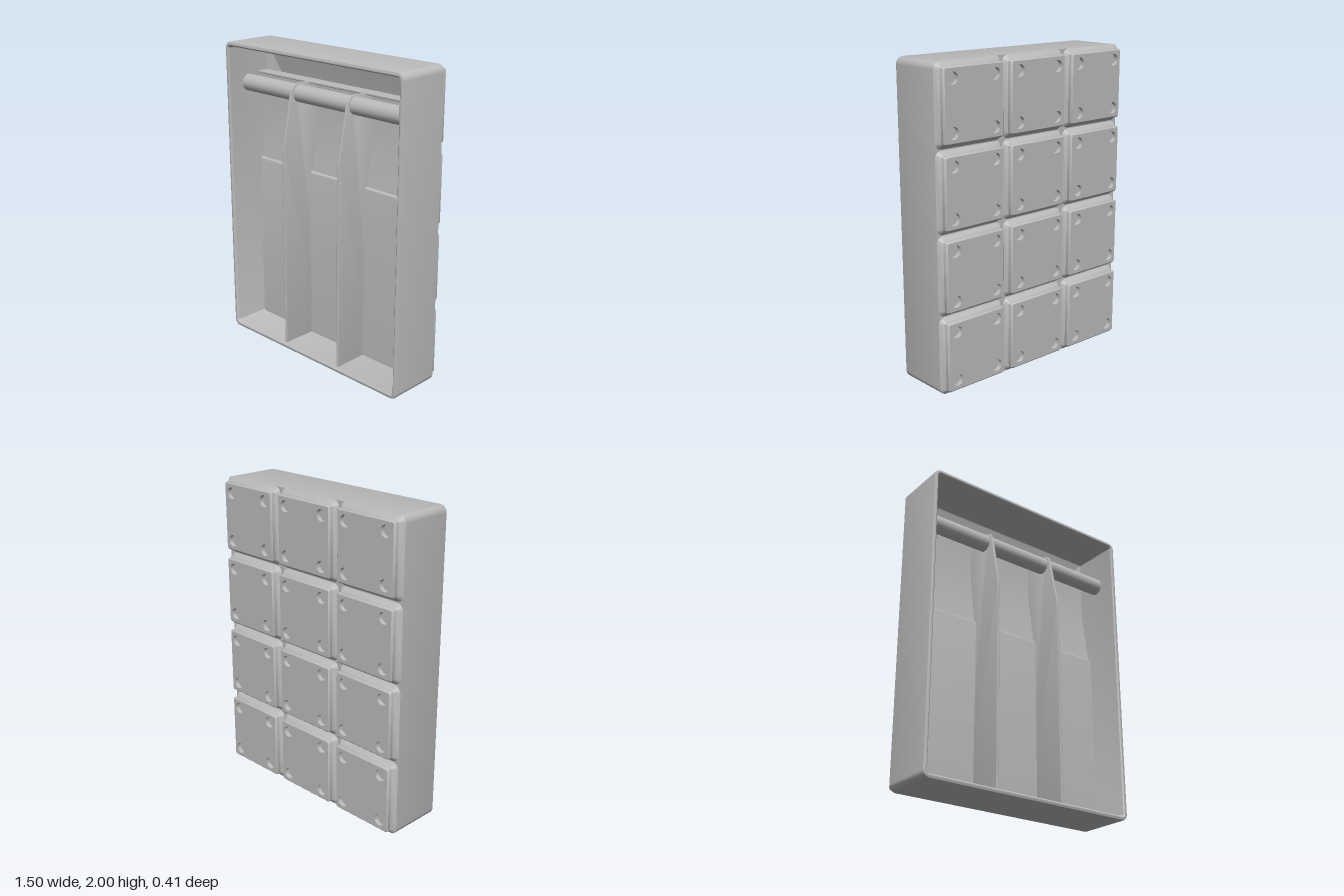
import * as THREE from 'three';
import { toCreasedNormals } from 'three/addons/utils/BufferGeometryUtils.js';

const PITCH = 0.5015, HALF_W = 0.749, HALF_H = 1, RADIUS = 0.045;
const WALL = 0.031, INNER_W = HALF_W - WALL;
const BACK = -0.205, FOOT_TOP = -0.1485, RIM = 0.205, FLOOR = -0.12;

// Rounded rectangle outline, counter-clockwise
function ring(hw, hh, r, steps = 8) {
  const pts = [];
  [[1, 1], [-1, 1], [-1, -1], [1, -1]].forEach(([sx, sy], q) => {
    for (let i = 0; i <= steps; i++) {
      const a = (q + i / steps) * Math.PI / 2;
      pts.push(new THREE.Vector2(sx * (hw - r) + r * Math.cos(a), sy * (hh - r) + r * Math.sin(a)));
    }
  });
  return pts;
}

// Skin through rounded rectangles given as [inset, z], optionally capped
function loft(hw, hh, r, levels, capStart, capEnd) {
  const pos = [], index = [];
  let n = 0;
  for (const [d, z] of levels) {
    const pts = ring(hw - d, hh - d, Math.max(r - d, 0.008));
    n = pts.length;
    pts.forEach(p => pos.push(p.x, p.y, z));
  }
  const last = levels.length - 1;
  for (let i = 0; i < last; i++) {
    for (let j = 0; j < n; j++) {
      const k = (j + 1) % n, a = i * n + j, b = i * n + k;
      index.push(a, b, b + n, a, b + n, a + n);
    }
  }
  const centre = pos.length / 3;
  pos.push(0, 0, levels[0][1], 0, 0, levels[last][1]);
  for (let j = 0; j < n; j++) {
    const k = (j + 1) % n;
    if (capStart) index.push(centre, k, j);
    if (capEnd) index.push(centre + 1, last * n + j, last * n + k);
  }
  const g = new THREE.BufferGeometry();
  g.setAttribute('position', new THREE.Float32BufferAttribute(pos, 3));
  g.setIndex(index);
  return toCreasedNormals(g, 0.5);
}

// Side profile in (z, y), extruded along x and centred on x = 0
function sideExtrude(shape, width, bevel = 0) {
  const g = new THREE.ExtrudeGeometry(shape, {
    depth: width - 2 * bevel, bevelEnabled: bevel > 0, bevelSize: bevel,
    bevelThickness: bevel, bevelOffset: -bevel, bevelSegments: 2, curveSegments: 8,
  });
  g.translate(0, 0, bevel - width / 2);
  g.rotateY(-Math.PI / 2);
  return toCreasedNormals(g, 0.5);
}

export function createModel() {
  const model = new THREE.Group();
  const grey = new THREE.MeshStandardMaterial({ color: 0xbababa });
  const add = (parent, name, geometry, x = 0, y = 0, z = 0) => {
    const m = new THREE.Mesh(geometry, grey);
    m.name = name;
    m.position.set(x, y, z);
    parent.add(m);
    return m;
  };

  // Open tray with a rounded rim and a hollow interior
  add(model, 'trayShell', loft(HALF_W, HALF_H, RADIUS, [
    [0, FOOT_TOP], [0, 0.195], [0.003, 0.202], [0.01, RIM], [0.02, RIM],
    [0.028, 0.198], [WALL, 0.188], [WALL, FLOOR + 0.012], [WALL + 0.004, FLOOR + 0.004], [WALL + 0.012, FLOOR],
  ], true, true), 0, 1, 0);

  // Raised floor, slope, recess and the low cross wall
  const floor = new THREE.Shape([
    [-0.13, 0.025], [-0.045, 0.025], [-0.045, 1.165], [-0.048, 1.178], [-0.056, 1.185],
    [-0.065, 1.186], [-0.115, 1.52], [-0.115, 1.764], [-0.049, 1.764], [-0.045, 1.768],
    [-0.045, 1.776], [-0.049, 1.78], [-0.13, 1.78],
  ].map(p => new THREE.Vector2(...p)));
  add(model, 'steppedFloor', sideExtrude(floor, 2 * INNER_W + 0.004));

  // Two dividers, cut back towards the top
  const divider = new THREE.Shape();
  divider.moveTo(-0.13, 0.02);
  divider.lineTo(0.186, 0.02);
  divider.lineTo(0.186, 1.33);
  divider.quadraticCurveTo(0.186, 1.37, 0.18, 1.4);
  divider.lineTo(0.115, 1.72);
  divider.quadraticCurveTo(0.1, 1.78, 0.05, 1.78);
  divider.lineTo(-0.13, 1.78);
  const dividerGeometry = sideExtrude(divider, 0.017, 0.005);
  for (const s of [-1, 1]) add(model, 'divider', dividerGeometry, s * 0.24);

  // Round bar across the upper end
  const bar = new THREE.CylinderGeometry(0.055, 0.055, 2 * INNER_W + 0.004, 40);
  bar.rotateZ(Math.PI / 2);
  add(model, 'crossBar', bar, 0, 1.715, 0.04);

  // Stepped feet with four round pockets each
  const half = 0.2477, inset = 0.0355, hole = 0.155, holeR = 0.037, depth = 0.028;
  const skirt = loft(half, half, RADIUS, [
    [inset, BACK], [0.026, BACK + 0.0095], [0.026, BACK + 0.031], [0, FOOT_TOP],
  ], false, false);
  const face = new THREE.Shape(ring(half - inset, half - inset, RADIUS - inset));
  const corners = [[1, 1], [-1, 1], [-1, -1], [1, -1]];
  for (const [sx, sy] of corners) {
    face.holes.push(new THREE.Path().absarc(sx * hole, sy * hole, holeR, 0, Math.PI * 2, true));
  }
  const faceGeometry = new THREE.ShapeGeometry(face, 12);
  faceGeometry.rotateY(Math.PI);
  // Pocket: inner wall and bottom, both seen from the back
  const pocket = new THREE.LatheGeometry([
    [holeR, 0], [holeR, depth], [0, depth],
  ].map(p => new THREE.Vector2(...p)), 24);
  pocket.rotateX(Math.PI / 2);
  const pocketGeometry = toCreasedNormals(pocket, 0.5);
  const pocketGrey = grey.clone();
  pocketGrey.name = 'grey pocket';
  pocketGrey.side = THREE.DoubleSide;
  grey.name = 'grey plastic';

  for (let col = -1; col <= 1; col++) {
    for (let row = 0; row < 4; row++) {
      const foot = new THREE.Group();
      foot.name = 'foot';
      foot.position.set(col * PITCH * 0.9985, 1 + (row - 1.5) * PITCH, 0);
      add(foot, 'footSkirt', skirt);
      add(foot, 'footFace', faceGeometry, 0, 0, BACK);
      for (const [sx, sy] of corners) {
        add(foot, 'pocket', pocketGeometry, sx * hole, sy * hole, BACK).material = pocketGrey;
      }
      model.add(foot);
    }
  }
  return model;
}
